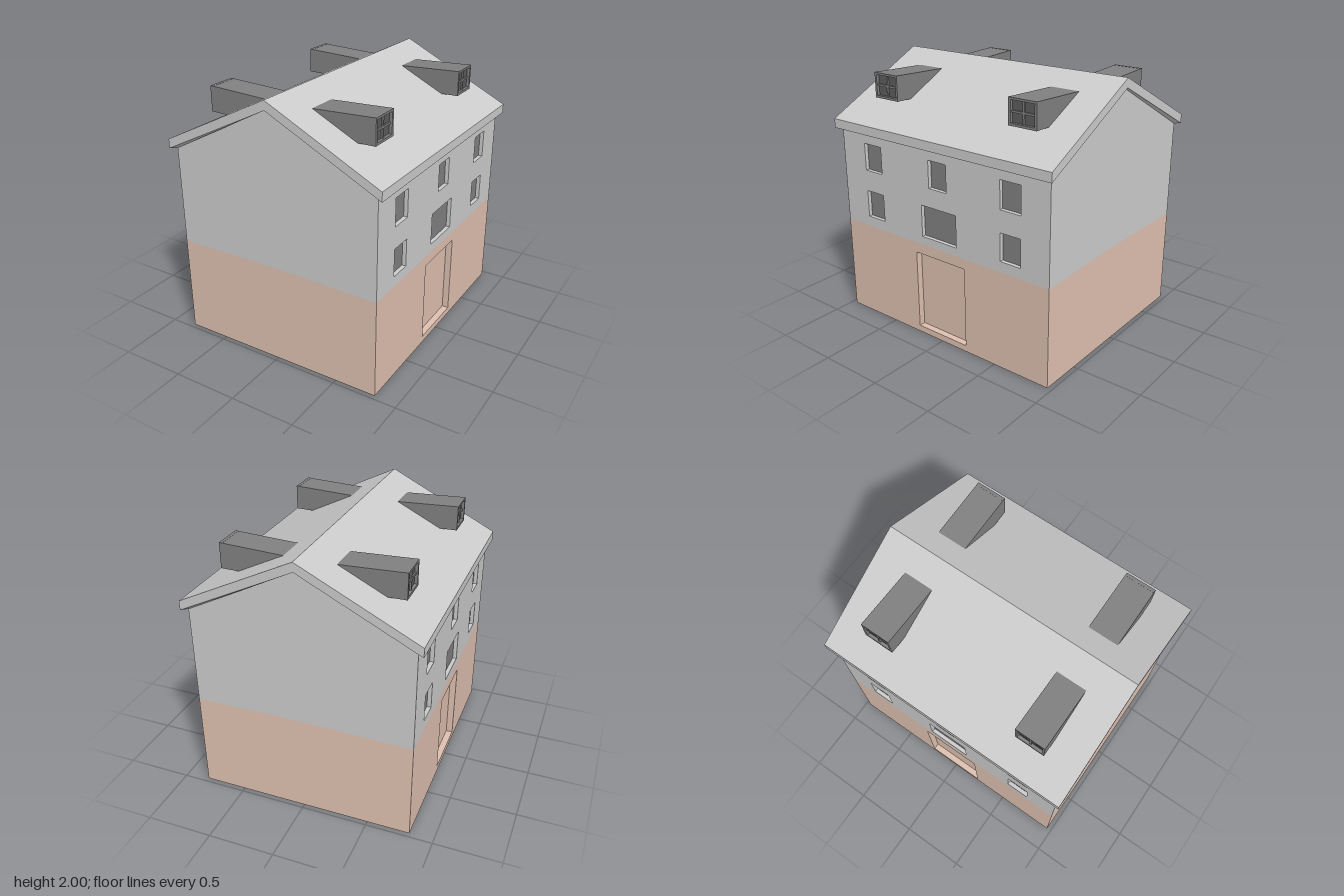
import * as THREE from 'three';

const W = 0.82, L = 0.965, EAVE = 1.5, BAND = 0.75, APEX = 1.93; // half width, half length, heights

export function createModel() {
  const house = new THREE.Group();
  house.name = 'house';
  const mat = (color) => new THREE.MeshStandardMaterial({ color, flatShading: true, side: THREE.DoubleSide });
  const grey = mat(0xcccccc), dark = mat(0x808080), glass = mat(0x5c5c5c), clay = mat(0xdec0b0);

  const add = (parent, name, geometry, material) => {
    const mesh = new THREE.Mesh(geometry, material);
    mesh.name = name;
    parent.add(mesh);
    return mesh;
  };
  const poly = (pts) => new THREE.Shape(pts.map(([x, y]) => new THREE.Vector2(x, y)));
  const rect = (x0, y0, x1, y1) => poly([[x0, y0], [x1, y0], [x1, y1], [x0, y1]]);
  const extrude = (shape, depth) => new THREE.ExtrudeGeometry(shape, { depth, bevelEnabled: false });
  // Extrusion turned to face +x, with its outer face at the given x
  const facingX = (shape, depth, x) => extrude(shape, depth).rotateY(Math.PI / 2).translate(x - depth, 0, 0);
  const pane = (cz, y0, y1, w, x) =>
    new THREE.PlaneGeometry(w, y1 - y0).rotateY(Math.PI / 2).translate(x, (y0 + y1) / 2, cz);

  // Openings: centre z, bottom, top, width
  const door = [0, 0.05, 0.67, 0.466];
  const windows = [[0, 1.205, 1.415, 0.166], [0, 0.815, 1.06, 0.328]];
  for (const z of [-0.645, 0.645]) windows.push([z, 0.83, 1.04, 0.172], [z, 1.205, 1.415, 0.172]);
  const cut = (shape, [z, y0, y1, w]) => shape.holes.push(rect(-z - w / 2, y0, -z + w / 2, y1));

  // Each half holds one long wall, one gable, two dormers and its soffits
  const makeHalf = (name) => {
    const half = new THREE.Group();
    half.name = name;

    // Long wall with recessed door and windows
    const lower = rect(-L + 0.001, 0, L - 0.001, BAND);
    cut(lower, door);
    add(half, 'lowerSideWall', facingX(lower, 0.06, W), clay);
    add(half, 'doorPanel', pane(...door, W - 0.05), clay);
    const upper = rect(-L + 0.001, BAND, L - 0.001, EAVE);
    windows.forEach((w) => cut(upper, w));
    add(half, 'upperSideWall', facingX(upper, 0.06, W), grey);
    windows.forEach((w) => add(half, 'windowPane', pane(...w, W - 0.03), dark));

    // Gable wall in two colours, meeting along a slightly bowed line
    const low = new THREE.Shape();
    low.moveTo(-W, 0).lineTo(W, 0).lineTo(W, BAND).quadraticCurveTo(0, BAND + 0.03, -W, BAND);
    add(half, 'lowerGable', new THREE.ShapeGeometry(low).translate(0, 0, L), clay);
    const high = new THREE.Shape();
    high.moveTo(-W, BAND).quadraticCurveTo(0, BAND + 0.03, W, BAND);
    high.lineTo(W, EAVE).lineTo(0, APEX).lineTo(-W, EAVE);
    add(half, 'upperGable', new THREE.ShapeGeometry(high).translate(0, 0, L), grey);

    // Soffits closing the overhang back to the walls
    const R = 0.865;
    const quads = [
      [[R, EAVE, 1], [0, APEX, 1], [0, APEX, L], [W, EAVE, L]],
      [[0, APEX, 1], [-R, EAVE, 1], [-W, EAVE, L], [0, APEX, L]],
      [[R, EAVE, -1], [R, EAVE, 1], [W, EAVE, L], [W, EAVE, -L]],
    ];
    const soffit = new THREE.BufferGeometry();
    const points = quads.flatMap(([a, b, c, d]) => [a, c, b, a, d, c]).flat();
    soffit.setAttribute('position', new THREE.Float32BufferAttribute(points, 3));
    soffit.computeVertexNormals();
    add(half, 'soffit', soffit, grey);

    for (const z of [-0.625, 0.625]) half.add(makeDormer(z));
    return half;
  };

  // Dormer: wedge body, front frame, glazing and crossed bars
  const makeDormer = (z) => {
    const dormer = new THREE.Group();
    dormer.name = 'dormer';
    dormer.position.z = z;
    const front = 0.67, back = 0.645, h = 0.115, y0 = 1.735, y1 = 1.925;
    const side = poly([[0.4, 1.73], [back, y0], [back, y1 - 0.001], [0.19, 1.905]]);
    add(dormer, 'dormerBody', extrude(side, 2 * h).translate(0, 0, -h), dark);
    const frame = rect(-h, y0, h, y1);
    frame.holes.push(rect(-h + 0.018, y0 + 0.018, h - 0.018, y1 - 0.016));
    add(dormer, 'dormerFrame', facingX(frame, front - back, front), dark);
    add(dormer, 'dormerGlass', pane(0, y0 + 0.01, y1 - 0.01, 0.2, back + 0.002), glass);
    const mid = (y0 + y1) / 2;
    add(dormer, 'uprightBar', new THREE.BoxGeometry(0.014, 0.16, 0.015).translate(back + 0.007, mid, 0), dark);
    add(dormer, 'crossBar', new THREE.BoxGeometry(0.014, 0.015, 0.2).translate(back + 0.006, mid, 0), dark);
    return dormer;
  };

  house.add(makeHalf('leftHalf'));
  const other = makeHalf('rightHalf');
  other.rotation.y = Math.PI;
  house.add(other);

  // Roof slab with a V-shaped section
  const roof = poly([[-0.865, 1.5], [0, APEX], [0.865, 1.5], [0.865, 1.57], [0, 2], [-0.865, 1.57]]);
  add(house, 'roof', extrude(roof, 2).translate(0, 0, -1), grey);

  // Floor underneath
  add(house, 'floor', new THREE.PlaneGeometry(2 * W, 2 * L).rotateX(Math.PI / 2), grey);
  return house;
}
